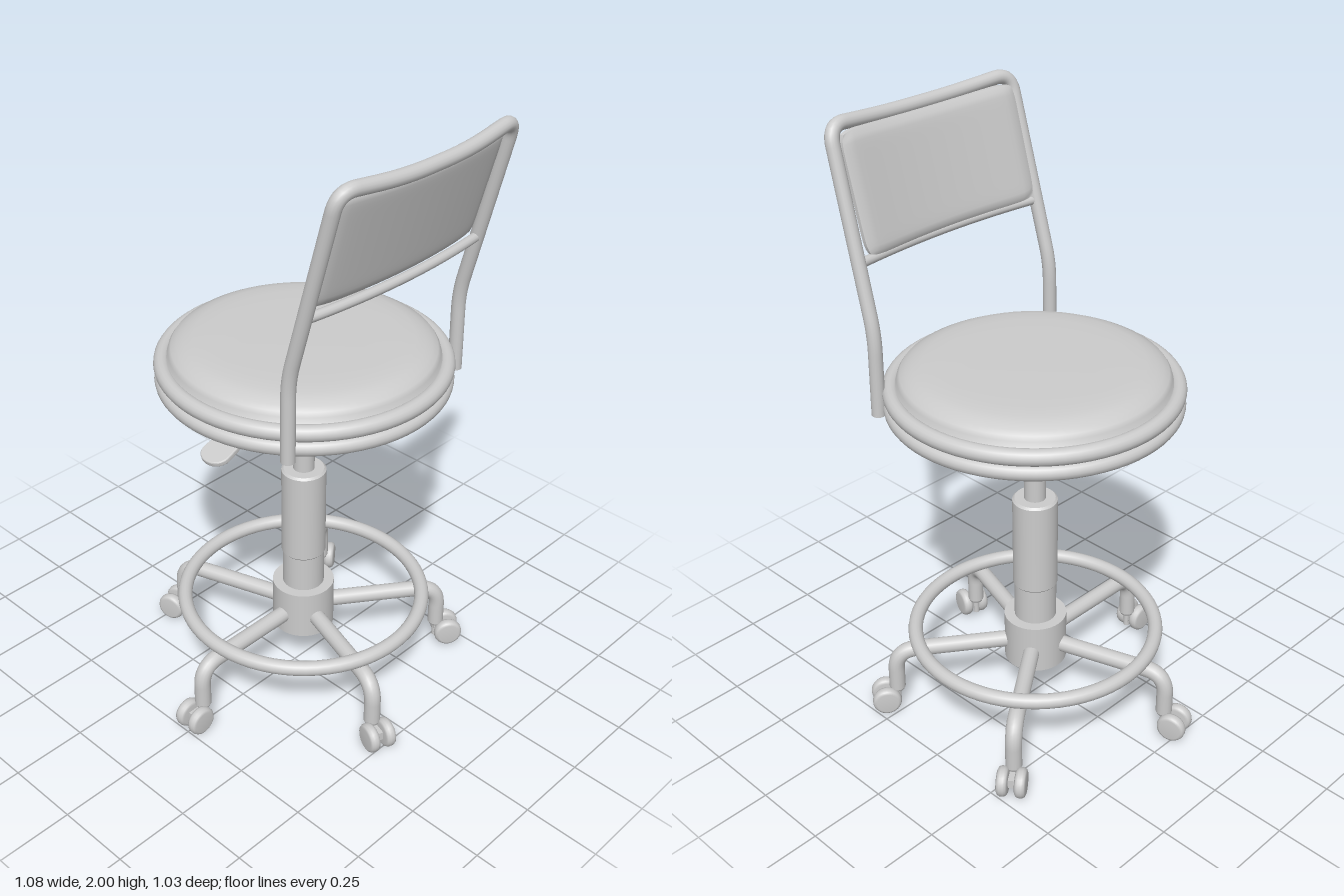
import * as THREE from 'three';

const V = (x, y, z) => new THREE.Vector3(x, y, z);
const material = new THREE.MeshStandardMaterial({ color: 0xcccccc, side: THREE.DoubleSide });

function add(parent, name, geometry, x = 0, y = 0, z = 0) {
  const mesh = new THREE.Mesh(geometry, material);
  mesh.name = name;
  mesh.position.set(x, y, z);
  parent.add(mesh);
  return mesh;
}

// Polyline whose corners are rounded with the given cut-back distances
function roundedPath(points, cuts) {
  const path = new THREE.CurvePath();
  let from = points[0];
  for (let i = 1; i < points.length - 1; i++) {
    const p = points[i];
    const a = p.clone().add(points[i - 1].clone().sub(p).setLength(cuts[i - 1]));
    const b = p.clone().add(points[i + 1].clone().sub(p).setLength(cuts[i - 1]));
    path.add(new THREE.LineCurve3(from, a));
    path.add(new THREE.QuadraticBezierCurve3(a, p, b));
    from = b;
  }
  path.add(new THREE.LineCurve3(from, points[points.length - 1]));
  return path;
}

const lathe = (pairs, n = 48) =>
  new THREE.LatheGeometry(pairs.map(([r, y]) => new THREE.Vector2(r, y)), n);

function addRing(parent, name, radius, tube, y) {
  add(parent, name, new THREE.TorusGeometry(radius, tube, 16, 72), 0, y).rotation.x = Math.PI / 2;
}

function makeSeat() {
  const seat = new THREE.Group();
  seat.name = 'seat';
  addRing(seat, 'lowerRim', 0.437, 0.025, 1.143);
  addRing(seat, 'upperRim', 0.437, 0.026, 1.192);
  add(seat, 'cushion', lathe([
    [0.43, 1.205], [0.42, 1.215], [0.417, 1.23], [0.408, 1.243], [0.39, 1.252],
    [0.37, 1.262], [0.34, 1.269], [0.29, 1.273], [0.2, 1.275], [0, 1.275]], 72));
  add(seat, 'seatPan', new THREE.CylinderGeometry(0.437, 0.437, 0.075, 72), 0, 1.163);
  return seat;
}

function makeColumn() {
  const column = new THREE.Group();
  column.name = 'column';
  add(column, 'gasLift', new THREE.CylinderGeometry(0.035, 0.035, 0.4, 32), 0, 0.94);
  const sleeve = [[0.035, 0.785], [0.066, 0.785], [0.073, 0.778], [0.073, 0.465], [0.069, 0.46], [0.069, 0.32]];
  for (let i = 0; i < sleeve.length - 1; i++)
    add(column, 'sleeve', lathe([sleeve[i + 1], sleeve[i]]));
  add(column, 'hub', new THREE.CylinderGeometry(0.103, 0.103, 0.17, 48), 0, 0.25);
  return column;
}

// One leg with a twin-wheel castor, pointing along +x
function makeLeg() {
  const leg = new THREE.Group();
  leg.name = 'leg';
  const path = roundedPath([V(0.08, 0.235, 0), V(0.471, 0.235, 0), V(0.471, 0.085, 0)], [0.075]);
  add(leg, 'legTube', new THREE.TubeGeometry(path, 48, 0.027, 16));
  add(leg, 'legEnd', new THREE.CylinderGeometry(0.027, 0.022, 0.012, 16), 0.471, 0.081);
  add(leg, 'castorStem', new THREE.CylinderGeometry(0.011, 0.011, 0.07, 12), 0.471, 0.06);
  add(leg, 'castorBracket', new THREE.BoxGeometry(0.06, 0.03, 0.022), 0.495, 0.052);
  for (const side of [-1, 1]) {
    const wheel = add(leg, 'wheel', lathe([
      [0, -0.018], [0.036, -0.018], [0.044, -0.014], [0.048, -0.006],
      [0.048, 0.006], [0.044, 0.014], [0.036, 0.018], [0, 0.018]], 28), 0.51, 0.05, side * 0.029);
    wheel.rotation.x = Math.PI / 2;
  }
  return leg;
}

function makeBackrest() {
  const back = new THREE.Group();
  back.name = 'backrest';
  // Bent tube frame with a dipped, bowed top rail
  const half = [V(0.295, 1.12, 0.373), V(0.295, 1.385, 0.371), V(0.456, 1.982, 0.358), V(0.48, 1.962, 0.13)];
  const mirrored = half.map(p => V(p.x, p.y, -p.z)).reverse();
  const frame = roundedPath([...half, ...mirrored], [0.06, 0.06, 0.1, 0.1, 0.06, 0.06]);
  add(back, 'frame', new THREE.TubeGeometry(frame, 220, 0.022, 16));
  for (const s of [-1, 1])
    add(back, 'frameEnd', new THREE.CylinderGeometry(0.022, 0.022, 0.004, 16), 0.295, 1.122, s * 0.373);
  // Thin rail under the panel
  const rail = new THREE.QuadraticBezierCurve3(V(0.352, 1.592, -0.365), V(0.404, 1.592, 0), V(0.352, 1.592, 0.365));
  add(back, 'lowerRail', new THREE.TubeGeometry(rail, 32, 0.015, 12));
  // Padded panel: leaned, bowed backwards, thinned at its edges
  const panel = new THREE.BoxGeometry(2, 2, 2, 32, 24, 4);
  const pos = panel.attributes.position;
  for (let i = 0; i < pos.count; i++) {
    const u = pos.getX(i), v = pos.getY(i), t = pos.getZ(i);
    const pad = 0.35 + 0.65 * Math.sqrt(Math.max(0, (1 - u ** 12) * (1 - v ** 12)));
    const z = u * 0.342 * (1 - 0.03 * v ** 10);
    const y = 1.785 + v * 0.178 * (1 - 0.06 * u ** 12) - 0.012 * (v + 1) * 0.5 * (1 - u * u);
    const x = 0.338 + 0.28 * (y - 1.61) + 0.026 * (1 - u * u) + t * 0.02 * pad;
    pos.setXYZ(i, x, y, -z);
  }
  // The mapping mirrors the box, so turn the faces outward again
  const index = panel.index.array;
  const a = V(0, 0, 0), b = V(0, 0, 0), c = V(0, 0, 0);
  [a, b, c].forEach((p, k) => p.fromBufferAttribute(pos, index[k]));
  if (b.sub(a).cross(c.sub(a)).z > 0)
    for (let i = 0; i < index.length; i += 3) [index[i], index[i + 1]] = [index[i + 1], index[i]];
  panel.computeVertexNormals();
  add(back, 'panel', panel);
  return back;
}

function makeLever() {
  const lever = new THREE.Group();
  lever.name = 'heightLever';
  const rod = new THREE.LineCurve3(V(0, 1.13, 0), V(0, 1.055, 0.25));
  add(lever, 'leverRod', new THREE.TubeGeometry(rod, 1, 0.008, 12));
  // Flat paddle widening towards its rounded tip
  const s = new THREE.Shape();
  s.moveTo(-0.014, 0);
  s.bezierCurveTo(-0.03, 0.02, -0.042, 0.1, -0.048, 0.16);
  s.bezierCurveTo(-0.05, 0.22, 0.05, 0.22, 0.048, 0.16);
  s.bezierCurveTo(0.042, 0.1, 0.03, 0.02, 0.014, 0);
  const paddle = add(lever, 'leverPaddle', new THREE.ExtrudeGeometry(s, {
    depth: 0.008, bevelThickness: 0.005, bevelSize: 0.004, bevelSegments: 3, curveSegments: 16,
  }), 0, 1.067, 0.22);
  paddle.rotation.x = Math.PI / 2 + 0.31;
  return lever;
}

export function createModel() {
  const chair = new THREE.Group();
  chair.name = 'swivelChair';
  const body = new THREE.Group();
  body.name = 'body';
  body.position.z = -0.042;
  chair.add(body);
  body.add(makeSeat(), makeColumn(), makeBackrest(), makeLever());
  addRing(body, 'footRing', 0.4, 0.024, 0.285);
  for (let i = 0; i < 5; i++) {
    const leg = makeLeg();
    leg.rotation.y = -Math.PI / 2 + i * Math.PI * 2 / 5;
    body.add(leg);
  }
  return chair;
}
